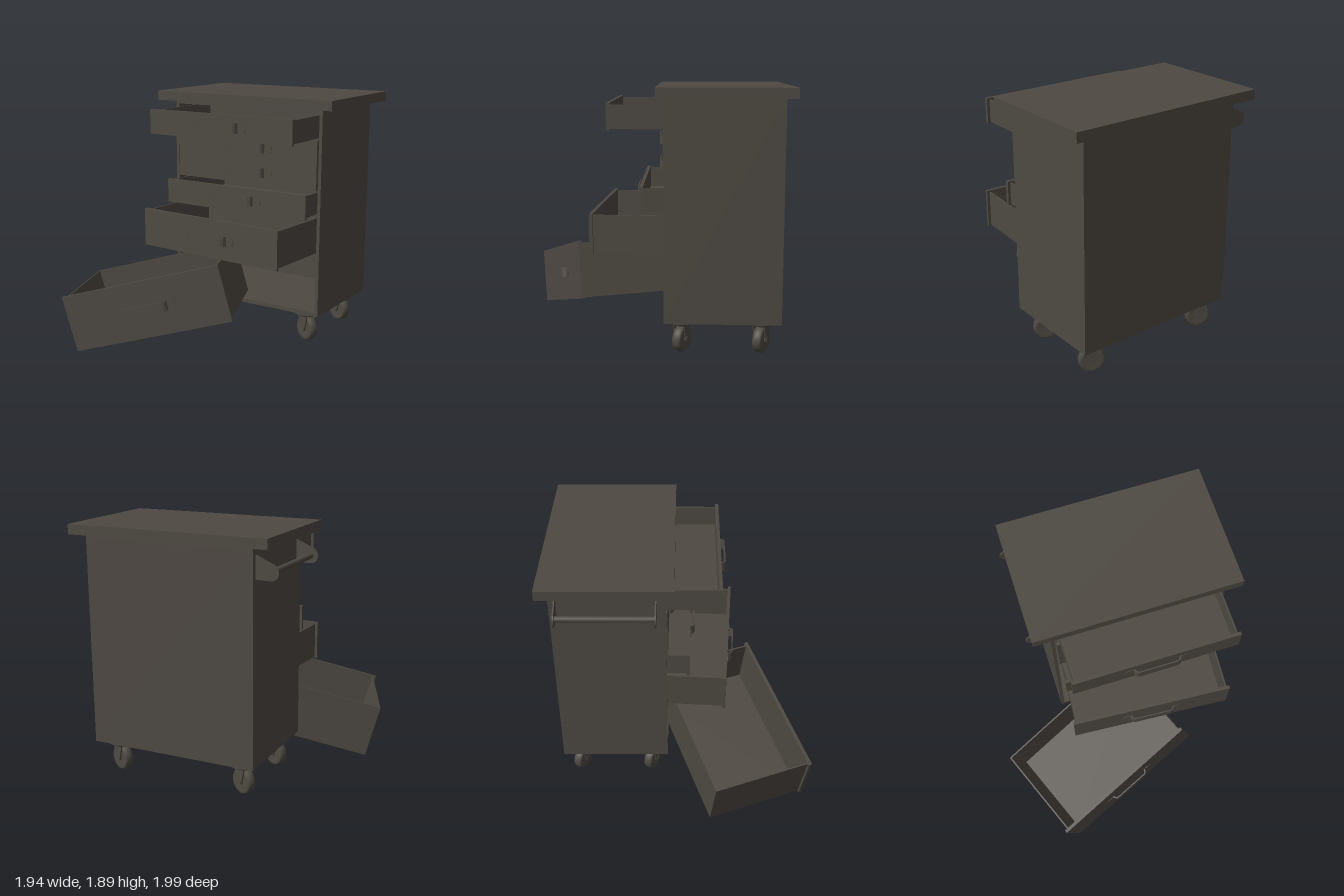
import * as THREE from 'three';

const paint = new THREE.MeshStandardMaterial({ color: 0x4e4942 });

function add(parent, name, geometry, x = 0, y = 0, z = 0) {
  const mesh = new THREE.Mesh(geometry, paint);
  mesh.name = name;
  mesh.position.set(x, y, z);
  parent.add(mesh);
  return mesh;
}

function box(parent, name, [x0, x1], [y0, y1], [z0, z1]) {
  return add(parent, name, new THREE.BoxGeometry(x1 - x0, y1 - y0, z1 - z0),
    (x0 + x1) / 2, (y0 + y1) / 2, (z0 + z1) / 2);
}

function polygon(points) {
  return new THREE.Shape(points.map(([x, y]) => new THREE.Vector2(x, y)));
}

function extrude(shape, depth, curveSegments = 12) {
  return new THREE.ExtrudeGeometry(shape, { depth, bevelEnabled: false, curveSegments });
}

// Bent strap with a rounded mounting tab at each end
function makePull() {
  const pull = new THREE.Group();
  pull.name = 'drawerPull';
  const strap = polygon([
    [-0.175, 0], [-0.162, 0.026], [-0.145, 0.036], [0.145, 0.036], [0.162, 0.026], [0.175, 0],
    [0.162, 0], [0.152, 0.02], [0.14, 0.027], [-0.14, 0.027], [-0.152, 0.02], [-0.162, 0],
  ]);
  const geometry = extrude(strap, 0.075);
  geometry.rotateX(Math.PI / 2);
  // After the turn the strap bulges toward +z and hangs below y = 0
  add(pull, 'pullStrap', geometry, 0, 0.0375, 0);
  for (const side of [-1, 1]) {
    const tab = new THREE.Shape();
    tab.moveTo(-0.04, -0.0375);
    tab.lineTo(0, -0.0375);
    tab.absarc(0, 0, 0.0375, -Math.PI / 2, Math.PI / 2, false);
    tab.lineTo(-0.04, 0.0375);
    const mesh = add(pull, 'pullTab', extrude(tab, 0.004), side * 0.2, 0, 0);
    mesh.rotation.z = side < 0 ? Math.PI : 0;
  }
  return pull;
}

// Open tray; origin at the centre of the front panel's outer face
function makeDrawer(height, depth = 0.78) {
  const drawer = new THREE.Group();
  drawer.name = 'drawer';
  const w = 0.615, h = height / 2, t = 0.012, panel = 0.025;
  const bw = w - 0.02, top = h - 0.012, bottom = -h + 0.008;
  box(drawer, 'drawerFront', [-w, w], [-h, h], [-panel, 0]);
  box(drawer, 'drawerFloor', [-bw, bw], [bottom, bottom + t], [-depth, -panel]);
  box(drawer, 'drawerBack', [-bw, bw], [bottom, top], [-depth, -depth + t]);
  box(drawer, 'drawerSide', [-bw, -bw + t], [bottom, top], [-depth, -panel]);
  box(drawer, 'drawerSide', [bw - t, bw], [bottom, top], [-depth, -panel]);
  drawer.add(makePull());
  return drawer;
}

// Swivel caster, turned slightly off the cabinet's axis
function makeCaster() {
  const caster = new THREE.Group();
  caster.name = 'caster';
  add(caster, 'mountPlate', new THREE.CylinderGeometry(0.103, 0.103, 0.022, 32), 0, 0.244, 0);
  add(caster, 'swivel', new THREE.CylinderGeometry(0.085, 0.075, 0.018, 32), 0, 0.225, 0);
  const profile = [[0.02, -0.03], [0.07, -0.03], [0.085, -0.035], [0.095, -0.022], [0.098, 0],
    [0.095, 0.022], [0.085, 0.035], [0.07, 0.03], [0.02, 0.03]];
  const tyre = new THREE.LatheGeometry(profile.map(([r, y]) => new THREE.Vector2(r, y)), 32);
  tyre.rotateX(Math.PI / 2);
  add(caster, 'wheel', tyre, 0, 0.108, 0);
  const axle = new THREE.CylinderGeometry(0.022, 0.022, 0.1, 16);
  axle.rotateX(Math.PI / 2);
  add(caster, 'axle', axle, 0, 0.108, 0);
  const arm = new THREE.Shape();
  arm.moveTo(-0.055, 0.22);
  arm.lineTo(-0.026, 0.108);
  arm.absarc(0, 0.108, 0.026, Math.PI, Math.PI * 2, false);
  arm.lineTo(0.055, 0.22);
  for (const z of [-0.047, 0.037]) add(caster, 'forkArm', extrude(arm, 0.01), 0, 0, z);
  caster.rotation.y = -0.44;
  return caster;
}

export function createModel() {
  const model = new THREE.Group();
  model.name = 'toolCabinet';

  // Worktop and hollow cabinet body
  box(model, 'worktop', [-0.565, 0.97], [1.82, 1.893], [-1, -0.05]);
  const shell = polygon([[-0.43, 0.255], [0.87, 0.255], [0.87, 1.82], [-0.43, 1.82]]);
  shell.holes.push(polygon([[-0.402, 0.285], [-0.402, 1.795], [0.845, 1.795], [0.845, 0.285]]));
  add(model, 'cabinetShell', extrude(shell, 0.82), 0, 0, -0.93);
  box(model, 'cabinetBack', [-0.402, 0.845], [0.285, 1.795], [-0.93, -0.91]);

  // Drawers: height, then centre of the front face
  const slots = [
    [0.187, 0.228, 1.693, 0.285],
    [0.185, 0.222, 1.502, -0.1],
    [0.185, 0.222, 1.315, -0.1],
    [0.185, 0.222, 1.123, 0.06],
    [0.29, 0.195, 0.877, 0.37],
  ];
  const drawers = slots.map(([height, x, y, z]) => {
    const drawer = makeDrawer(height);
    drawer.position.set(x, y, z);
    model.add(drawer);
    return drawer;
  });
  drawers[4].rotation.y = -0.066;

  // Bottom drawer, fallen out and resting on one corner
  const fallen = makeDrawer(0.43);
  fallen.name = 'fallenDrawer';
  const xAxis = new THREE.Vector3(1.11, 0.325, -0.45).normalize();
  const zAxis = xAxis.clone().cross(new THREE.Vector3(-0.11, 0.415, 0.04)).normalize();
  const yAxis = zAxis.clone().cross(xAxis);
  fallen.quaternion.setFromRotationMatrix(new THREE.Matrix4().makeBasis(xAxis, yAxis, zAxis));
  fallen.position.set(-0.1, 0.375, 0.745);
  model.add(fallen);

  // Push handle: two rounded brackets and a bar
  const bracket = new THREE.Shape();
  bracket.moveTo(-0.43, 1.595);
  bracket.lineTo(-0.43, 1.762);
  bracket.lineTo(-0.565, 1.702);
  bracket.absarc(-0.54, 1.651, 0.056, 2.03, Math.PI * 1.5, false);
  for (const z of [-0.885, -0.185]) add(model, 'handleBracket', extrude(bracket, 0.01), 0, 0, z);
  const bar = new THREE.CylinderGeometry(0.022, 0.022, 0.7, 20);
  bar.rotateX(Math.PI / 2);
  add(model, 'pushBar', bar, -0.54, 1.65, -0.53);

  // Casters at the four corners
  for (const x of [-0.3, 0.72]) {
    for (const z of [-0.235, -0.8]) {
      const caster = makeCaster();
      caster.position.set(x, 0, z);
      model.add(caster);
    }
  }
  return model;
}
